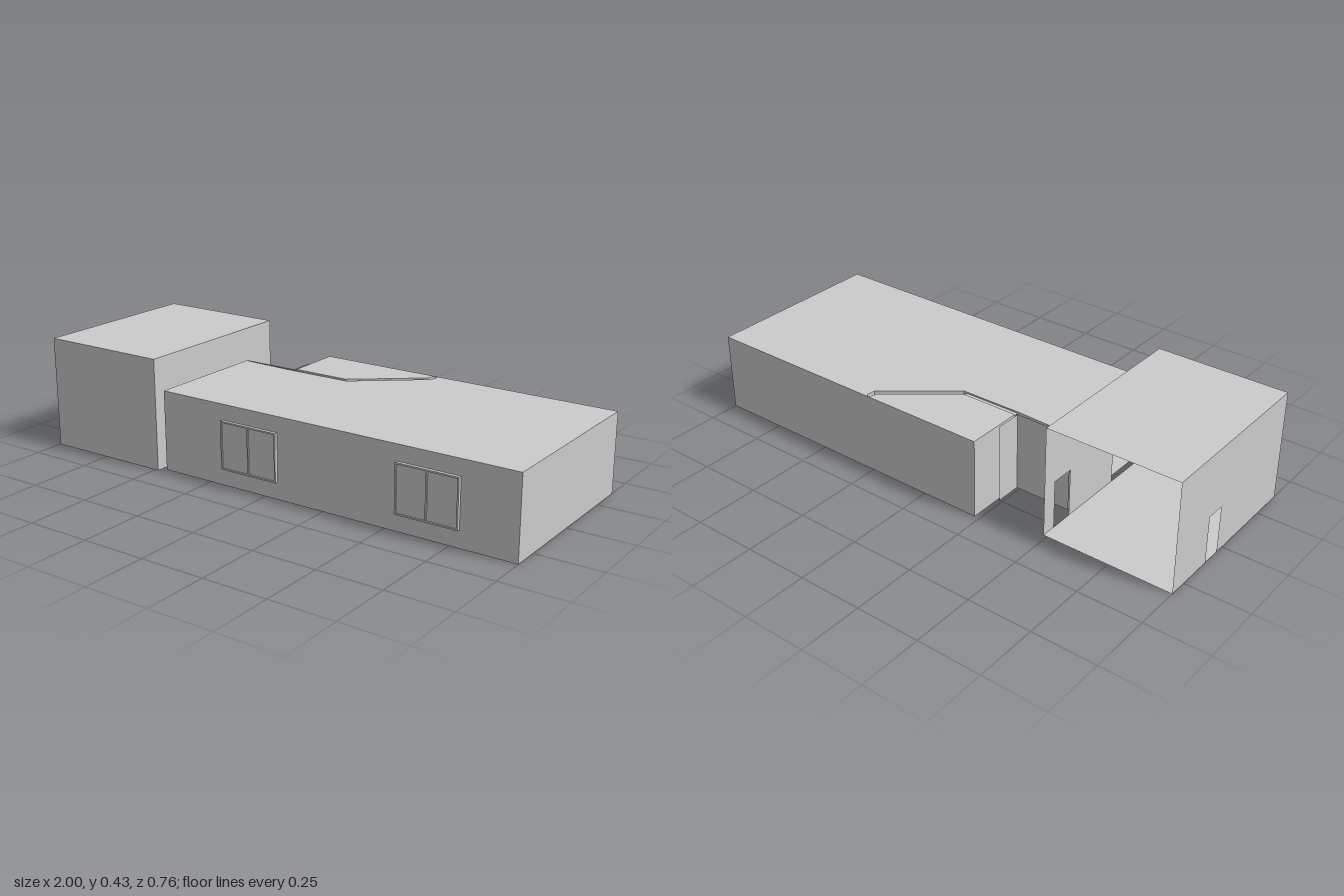
import * as THREE from 'three';

const material = new THREE.MeshStandardMaterial({ color: 0xcccccc, side: THREE.DoubleSide, flatShading: true });

function add(parent, name, geometry) {
  const mesh = new THREE.Mesh(geometry, material);
  mesh.name = name;
  parent.add(mesh);
  return mesh;
}

// Box given by its lower and upper limits on each axis
function box(parent, name, [x0, x1], [y0, y1], [z0, z1]) {
  const mesh = add(parent, name, new THREE.BoxGeometry(x1 - x0, y1 - y0, z1 - z0));
  mesh.position.set((x0 + x1) / 2, (y0 + y1) / 2, (z0 + z1) / 2);
  return mesh;
}

// Thin upright wall from p to q (x, z); doors are [start, end, height] along it
function wall(parent, name, p, q, height, doors = []) {
  const dx = q[0] - p[0], dz = q[1] - p[1], length = Math.hypot(dx, dz);
  const outline = [[0, 0]];
  for (const [a, b, h] of doors) outline.push([a, 0], [a, h], [b, h], [b, 0]);
  outline.push([length, 0], [length, height], [0, height]);
  const shape = new THREE.Shape(outline.map(([u, v]) => new THREE.Vector2(u, v)));
  const mesh = add(parent, name, new THREE.ShapeGeometry(shape));
  mesh.position.set(p[0], 0, p[1]);
  mesh.rotation.y = -Math.atan2(dz, dx);
}

// Flat floor or roof over a footprint
function slab(parent, name, footprint, y) {
  const shape = new THREE.Shape(footprint.map(([x, z]) => new THREE.Vector2(x, -z)));
  add(parent, name, new THREE.ShapeGeometry(shape).rotateX(-Math.PI / 2)).position.y = y;
}

// Hollow room: floor, roof and one wall per side; openSides are left out
function room(parent, name, footprint, height, doors = {}, openSides = []) {
  const group = new THREE.Group();
  group.name = name;
  slab(group, 'floor', footprint, 0);
  slab(group, 'roof', footprint, height);
  footprint.forEach((p, i) => {
    if (openSides.includes(i)) return;
    wall(group, 'wall', p, footprint[(i + 1) % footprint.length], height, doors[i]);
  });
  parent.add(group);
}

// Two-pane window standing proud of the front wall
function frontWindow(parent, x0, x1) {
  const group = new THREE.Group();
  group.name = 'window';
  const y0 = 0.065, y1 = 0.25, t = 0.006, mid = (x0 + x1) / 2, depth = [0.35, 0.366];
  box(group, 'windowPane', [x0, x1], [y0, y1], [0.35, 0.362]);
  for (const x of [x0, mid - t / 2, x1 - t]) box(group, 'windowPost', [x, x + t], [y0, y1], depth);
  for (const y of [y0, y1 - t]) box(group, 'windowRail', [x0, x1], [y, y + t], depth);
  parent.add(group);
}

export function createModel() {
  const model = new THREE.Group();
  model.name = 'building';
  const low = 0.31, tall = 0.433;

  // Tall block, open at the back, with a door on each side and a passage door
  room(model, 'tallBlock', [[-1, 0.379], [-0.485, 0.379], [-0.485, -0.32], [-1, -0.32]], tall, {
    1: [[0.109, 0.279, 0.235], [0.549, 0.639, 0.19]],
    3: [[0.21, 0.285, 0.185]],
  }, [2]);

  // Long low hall
  room(model, 'mainHall', [
    [-0.465, 0.353], [1, 0.353], [1, -0.38], [0.262, -0.38], [0.272, -0.37],
    [0.268, -0.337], [0.015, -0.135], [-0.23, -0.132], [-0.465, -0.14],
  ], low, { 8: [[0.24, 0.41, 0.235]] });

  // Back room, split from the hall by a narrow slot
  room(model, 'backRoom', [
    [-0.23, -0.38], [0.262, -0.38], [0.253, -0.37], [0.247, -0.346], [0.002, -0.153], [-0.23, -0.153],
  ], low);

  // Strips closing the straight part of the slot
  for (const y of [0, low - 0.006])
    slab(model, 'slotStrip', [[-0.23, -0.131], [0.002, -0.134], [0.002, -0.154], [-0.23, -0.154]], y);

  // Thin outer panels in the rear corner notch
  wall(model, 'notchPanel', [-0.465, -0.146], [-0.23, -0.146], low);
  wall(model, 'notchPanel', [-0.238, -0.25], [-0.238, -0.146], low);

  // Short passage between the blocks
  for (const z of [0.1, 0.27]) wall(model, 'passageSide', [-0.485, z], [-0.465, z], 0.235);
  slab(model, 'passageRoof', [[-0.485, 0.27], [-0.465, 0.27], [-0.465, 0.1], [-0.485, 0.1]], 0.235);

  frontWindow(model, -0.19, 0.055);
  frontWindow(model, 0.545, 0.786);
  return model;
}
